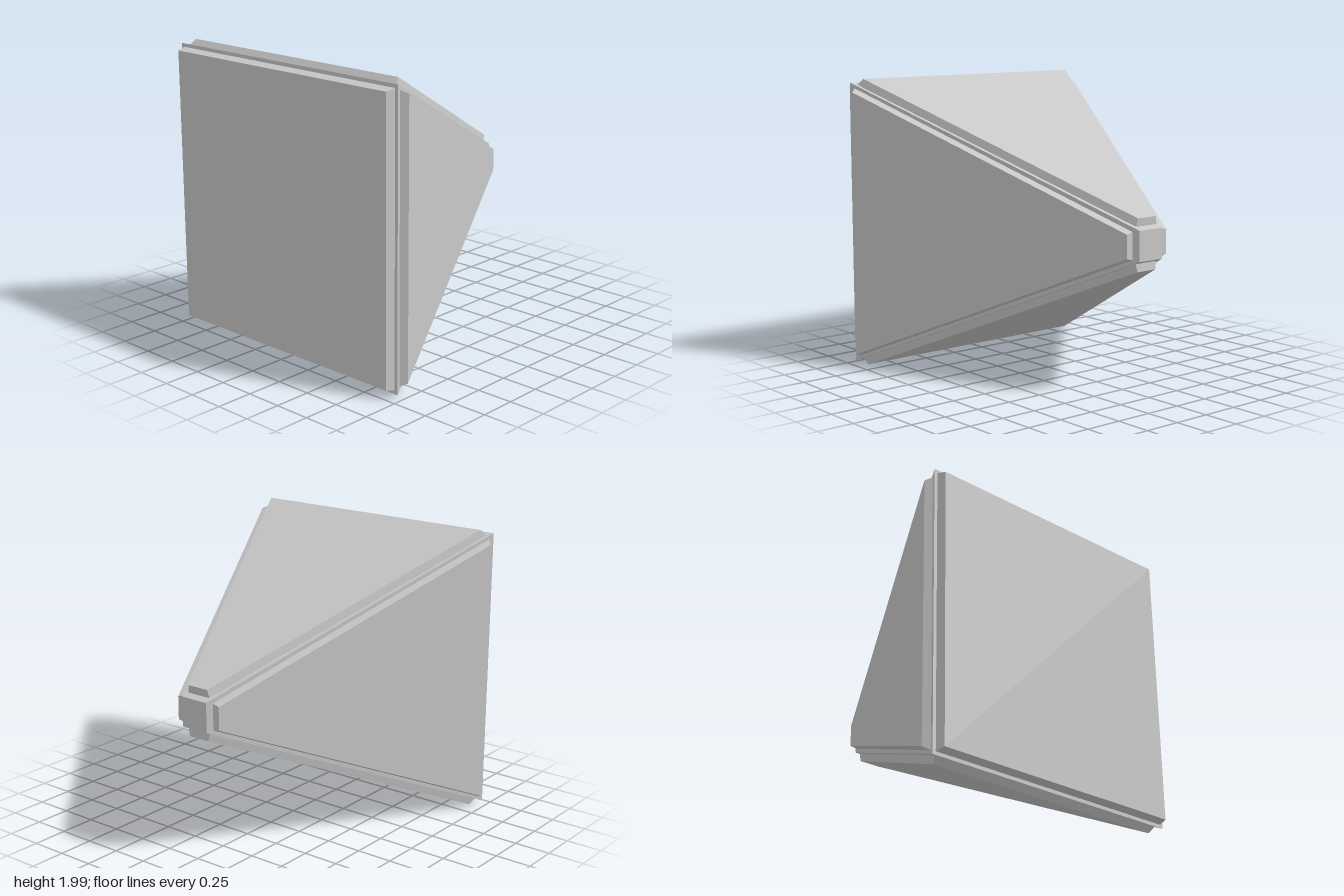
import * as THREE from 'three';

// Flat-faced solid between two four-cornered loops, counter-clockwise as seen from the outer loop
function loft(inner, outer) {
  const pos = [];
  const quad = (a, b, c, d) => [a, b, c, a, c, d].forEach(p => pos.push(...p));
  quad(...outer);
  quad(...[...inner].reverse());
  for (let i = 0; i < 4; i++) {
    const j = (i + 1) % 4;
    quad(inner[i], inner[j], outer[j], outer[i]);
  }
  const geo = new THREE.BufferGeometry();
  geo.setAttribute('position', new THREE.Float32BufferAttribute(pos, 3));
  geo.computeVertexNormals();
  return geo;
}

// Square loop facing +z
const square = (h, z) => [[-h, -h, z], [h, -h, z], [h, h, z], [-h, h, z]];

// Trapezoid loop on the upper slope, from its wide front edge to its narrow back edge
const trapezoid = ([xf, yf, zf], [xb, yb, zb]) =>
  [[-xf, yf, zf], [xf, yf, zf], [xb, yb, zb], [-xb, yb, zb]];

export function createModel() {
  const model = new THREE.Group();
  const grey = new THREE.MeshStandardMaterial({ color: 0xc8c8c8 });
  grey.name = 'light grey';

  const add = (name, geo) => {
    const mesh = new THREE.Mesh(geo, grey);
    mesh.name = name;
    mesh.position.y = 0.9935;
    model.add(mesh);
    return mesh;
  };

  // Tapered core, wide at the front
  add('core', loft(square(0.1, -1), square(0.968, 0.938)));

  // Raised square panel with a bevelled rim
  add('frontPanel', loft(square(0.945, 0.936), square(0.93, 1)));

  // Raised bevelled panel on each of the four slopes
  const panel = loft(
    trapezoid([0.93, 0.951, 0.905], [0.09, 0.117, -0.957]),
    trapezoid([0.905, 0.9935, 0.87], [0.078, 0.172, -0.963])
  );
  ['topPanel', 'leftPanel', 'bottomPanel', 'rightPanel'].forEach((name, i) => {
    add(name, panel).rotation.z = -i * Math.PI / 2;
  });

  return model;
}
